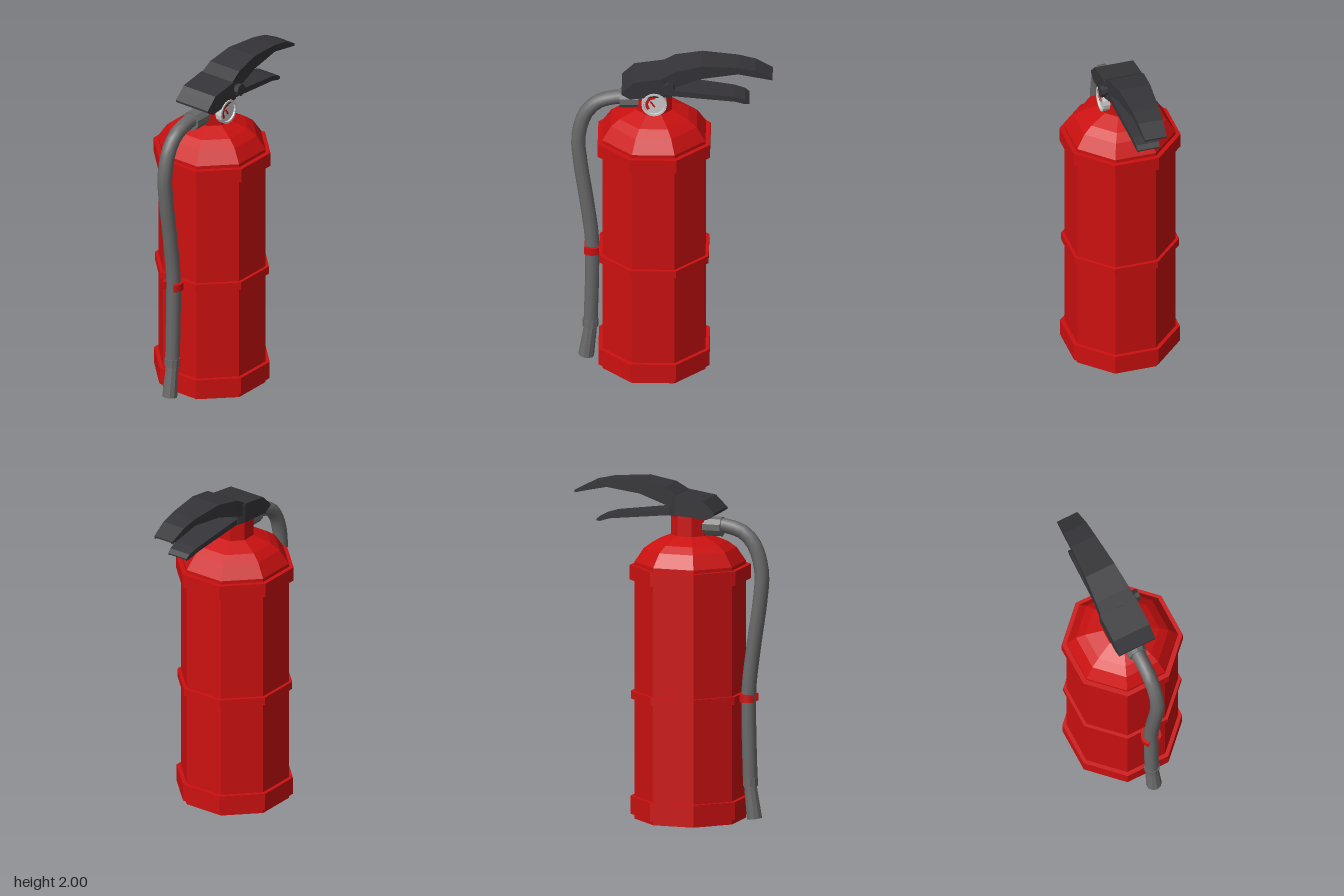
import * as THREE from 'three';

const CZ = 0.1; // the tank axis sits slightly forward of centre
const mat = (color, flatShading = true, side = THREE.FrontSide) =>
  new THREE.MeshStandardMaterial({ color, flatShading, side });

const red = mat(0xcc1010);
const black = mat(0x353438);
const rubber = mat(0x6a6a6a, false);
const rubberFlat = mat(0x6a6a6a);
const grey = mat(0xcccccc);

export function createModel() {
  const model = new THREE.Group();
  const add = (name, geometry, material) => {
    const mesh = new THREE.Mesh(geometry, material);
    mesh.name = name;
    model.add(mesh);
    return mesh;
  };

  // Octagonal turned part; profile radii are measured to the flats
  const octagon = (name, profile) => {
    const pts = profile.map(([r, y]) => new THREE.Vector2(r / Math.cos(Math.PI / 8), y));
    add(name, new THREE.LatheGeometry(pts, 8, Math.PI / 8), red).position.z = CZ;
  };

  // Skin through rings of [x, y] points placed at successive z, running backwards
  const loft = (name, stations, ringOf) => {
    const rings = stations.map((s) => ringOf(...s.slice(1)));
    const n = rings[0].length;
    const pos = rings.flatMap((ring, i) => ring.flatMap(([x, y]) => [x, y, stations[i][0]]));
    const index = [];
    for (let i = 0; i < rings.length - 1; i++) {
      for (let j = 0; j < n; j++) {
        const a = i * n + j, b = i * n + (j + 1) % n;
        index.push(a, a + n, b, b, a + n, b + n);
      }
    }
    const capOf = (ring) => THREE.ShapeUtils.triangulateShape(ring.map((p) => new THREE.Vector2(...p)), []);
    const last = (rings.length - 1) * n;
    capOf(rings[0]).forEach(([a, b, c]) => index.push(a, b, c));
    capOf(rings[rings.length - 1]).forEach(([a, b, c]) => index.push(last + a, last + c, last + b));
    const g = new THREE.BufferGeometry();
    g.setAttribute('position', new THREE.Float32BufferAttribute(pos, 3));
    g.setIndex(index);
    g.computeVertexNormals();
    return add(name, g, black);
  };
  const solid = (w, top, bottom) => [[w, bottom], [w, top], [-w, top], [-w, bottom]];
  const channel = (w, top, bottom) => {
    const e = Math.min(0.02, (top - bottom) * 0.6);
    return [[w, bottom], [w, top], [-w, top], [-w, bottom],
      [e - w, bottom], [e - w, top - e], [w - e, top - e], [w - e, bottom]];
  };

  // Tank with domed shoulder, neck and raised bands
  octagon('tank', [[0, 0], [0.3, 0], [0.3, 1.52], [0.25, 1.6], [0.2, 1.638], [0.105, 1.68], [0, 1.69]]);
  octagon('neck', [[0.103, 1.66], [0.103, 1.82], [0, 1.82]]);
  const band = (name, r, y0, y1) =>
    octagon(name, [[0.295, y0], [r, y0], [r, y1], [0.295, y1]]);
  band('baseBand', 0.323, 0.03, 0.135);
  band('middleBand', 0.319, 0.71, 0.757);
  band('shoulderBand', 0.327, 1.415, 1.5);

  // Valve housing and the two squeeze levers: [z, halfWidth, top, bottom]
  loft('valveHousing', [
    [0.288, 0.118, 1.832, 1.82], [0.24, 0.118, 1.878, 1.79], [0.218, 0.118, 1.9, 1.792],
    [0.045, 0.118, 1.926, 1.805], [0, 0.1, 1.9, 1.8],
  ], solid);
  loft('upperLever', [
    [0.05, 0.112, 1.926, 1.85], [-0.02, 0.108, 1.968, 1.865], [-0.18, 0.095, 2, 1.918],
    [-0.39, 0.08, 1.985, 1.942], [-0.49, 0.075, 1.963, 1.92], [-0.59, 0.066, 1.912, 1.896],
  ], channel);
  loft('lowerLever', [
    [0.06, 0.095, 1.84, 1.79], [0, 0.092, 1.835, 1.8], [-0.37, 0.075, 1.787, 1.757],
    [-0.43, 0.07, 1.768, 1.738], [-0.455, 0.066, 1.748, 1.736],
  ], channel);

  // Hinge pin, proud on the left side
  const pin = new THREE.CylinderGeometry(0.026, 0.026, 0.23, 8).rotateZ(-Math.PI / 2);
  add('hingePin', pin, black).position.set(0.012, 1.873, 0.014);
  const head = new THREE.CylinderGeometry(0.037, 0.037, 0.025, 8).rotateZ(-Math.PI / 2);
  add('hingePinHead', head, black).position.set(0.138, 1.873, 0.014);

  // Pressure gauge with recessed dial
  const gauge = new THREE.Group();
  gauge.name = 'pressureGauge';
  gauge.position.set(0, 1.756, 0.098);
  model.add(gauge);
  const gaugePart = (name, g, m) => {
    const mesh = new THREE.Mesh(g, m);
    mesh.name = name;
    gauge.add(mesh);
  };
  const dish = [[0.03, 0.05], [0.035, 0.08], [0.074, 0.083], [0.074, 0.125], [0.062, 0.125], [0.06, 0.114], [0, 0.114]]
    .map((p) => new THREE.Vector2(...p));
  gaugePart('gaugeCase', new THREE.LatheGeometry(dish, 16).rotateZ(-Math.PI / 2), grey);
  gaugePart('gaugeScale',
    new THREE.RingGeometry(0.035, 0.052, 10, 1, Math.PI * 0.45, Math.PI * 0.8).rotateY(Math.PI / 2).translate(0.116, 0, 0), red);
  gaugePart('gaugeNeedle',
    new THREE.BoxGeometry(0.004, 0.045, 0.009).translate(0, 0.016, 0).rotateX(0.6).translate(0.116, -0.012, 0), red);

  // Hose and its fittings
  const hoseFitting = new THREE.CylinderGeometry(0.058, 0.058, 0.13, 10).rotateX(Math.PI / 2);
  add('hoseFitting', hoseFitting, rubberFlat).position.set(0, 1.735, 0.235);
  const path = new THREE.CatmullRomCurve3([
    [1.745, 0.27], [1.738, 0.34], [1.708, 0.43], [1.63, 0.5], [1.475, 0.541], [1.315, 0.531],
    [1.05, 0.493], [0.8, 0.463], [0.6, 0.461], [0.24, 0.47],
  ].map(([y, z]) => new THREE.Vector3(0, y, z)));
  add('hose', new THREE.TubeGeometry(path, 32, 0.043, 10), rubber);
  add('nozzleCollar', new THREE.CylinderGeometry(0.046, 0.046, 0.05, 10), rubberFlat)
    .position.set(0, 0.238, 0.471);
  const nozzle = add('nozzle', new THREE.CylinderGeometry(0.038, 0.046, 0.2, 10), rubberFlat);
  nozzle.position.set(0, 0.12, 0.483);
  nozzle.rotation.x = -0.13;

  // Hose clip, a C open to the front, with a bridge to the tank band
  const gap = 0.7;
  const clipShape = new THREE.Shape();
  clipShape.absarc(0, 0, 0.06, -Math.PI / 2 + gap, Math.PI * 1.5 - gap, false);
  clipShape.absarc(0, 0, 0.041, Math.PI * 1.5 - gap, -Math.PI / 2 + gap, true);
  const clip = new THREE.ExtrudeGeometry(clipShape, { depth: 0.045, bevelEnabled: false, curveSegments: 12 });
  add('hoseClip', clip.rotateX(-Math.PI / 2), red).position.set(0, 0.711, 0.461);
  add('clipBridge', new THREE.BoxGeometry(0.05, 0.045, 0.02), red).position.set(0, 0.7335, 0.412);

  return model;
}
